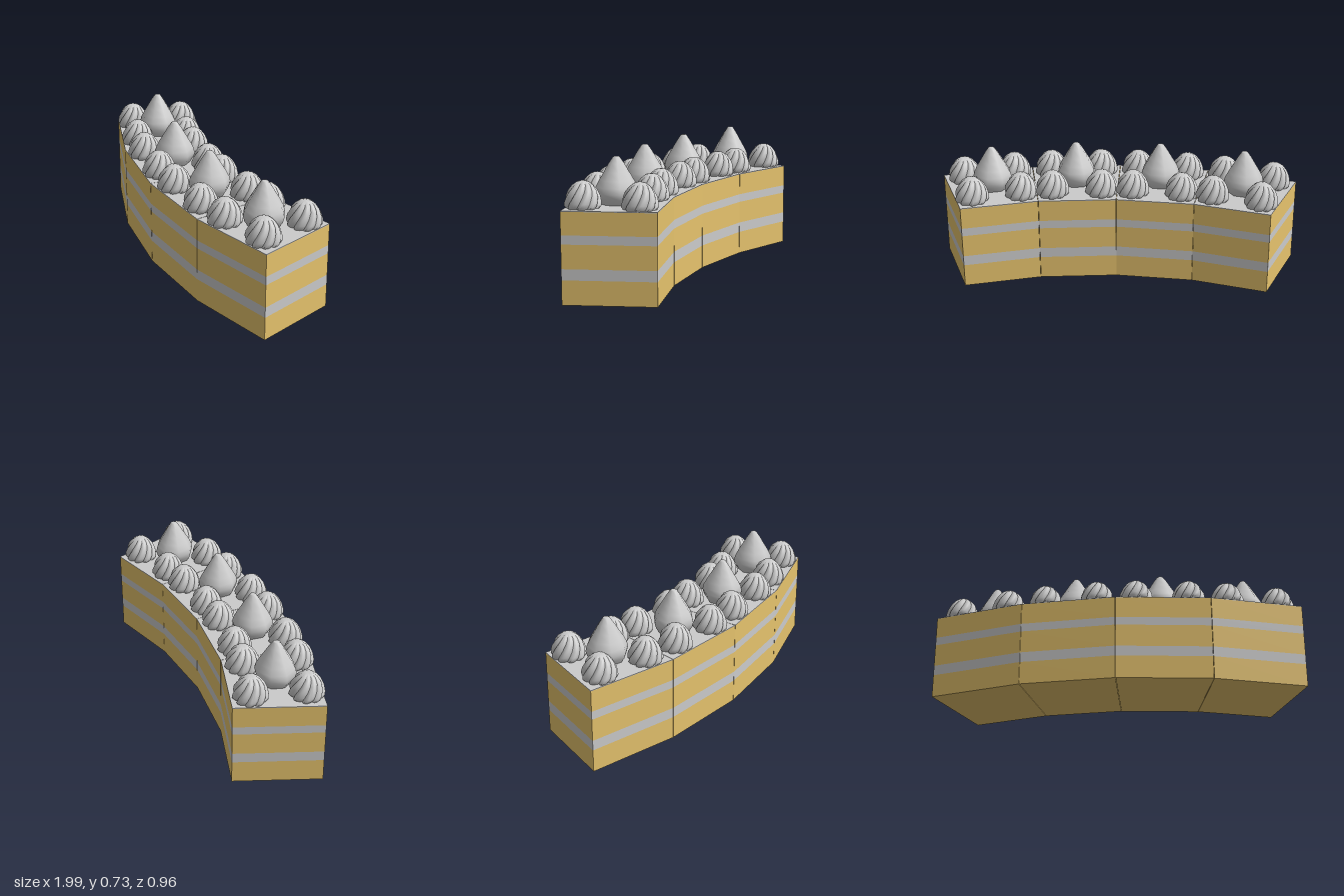
import * as THREE from 'three';
import { toCreasedNormals } from 'three/addons/utils/BufferGeometryUtils.js';

const HALF = THREE.MathUtils.degToRad(5.3); // half the angle of one slice
const OUTER = 2.857, INNER = 2.37;          // distances from the ring centre
const TOP = 0.486;

const cream = new THREE.MeshStandardMaterial({ color: 0xcccccc });
const sponge = new THREE.MeshStandardMaterial({ color: 0xe6c36d });

// Wedge-shaped slab between two heights
function slab(y0, y1) {
  const t = Math.tan(HALF) - 0.0004; // hairline cut between slices
  const shape = new THREE.Shape([
    new THREE.Vector2(-OUTER * t, -OUTER), new THREE.Vector2(OUTER * t, -OUTER),
    new THREE.Vector2(INNER * t, -INNER), new THREE.Vector2(-INNER * t, -INNER),
  ]);
  const geo = new THREE.ExtrudeGeometry(shape, { depth: y1 - y0, bevelEnabled: false });
  return geo.rotateX(-Math.PI / 2).translate(0, y0, 0);
}

const toPoints = (list) => list.map(([r, y]) => new THREE.Vector2(r, y));

// Tall smooth dollop
function peakGeometry() {
  return new THREE.LatheGeometry(toPoints([
    [0.085, -0.005], [0.107, 0.03], [0.115, 0.06], [0.108, 0.09], [0.09, 0.125],
    [0.066, 0.165], [0.04, 0.21], [0.018, 0.242], [0.012, 0.245], [0, 0.245],
  ]), 8, Math.PI / 8);
}

// Small piped rosette: a dome with twisted, scalloped lobes
function rosetteGeometry() {
  const lobes = 9, perLobe = 6, height = 0.138;
  const profile = toPoints([
    [0, -0.004], [0.085, -0.004], [0.096, 0.012], [0.096, 0.03], [0.089, 0.06],
    [0.075, 0.09], [0.054, 0.117], [0.032, 0.133], [0.012, 0.138], [0, 0.138],
  ]);
  const geo = new THREE.LatheGeometry(profile, lobes * perLobe);
  const pos = geo.attributes.position;
  for (let i = 0; i < pos.count; i++) {
    const step = Math.floor(i / profile.length) % (lobes * perLobe);
    const { x: r, y } = profile[i % profile.length];
    const f = (step % perLobe) / perLobe;
    const lobe = 0.83 + 0.17 * Math.sin(Math.PI * Math.pow(f, 0.7));
    const angle = (step / (lobes * perLobe)) * Math.PI * 2 + 0.9 * (y / height);
    pos.setXYZ(i, r * lobe * Math.sin(angle), y, r * lobe * Math.cos(angle));
  }
  geo.deleteAttribute('normal');
  geo.deleteAttribute('uv');
  return toCreasedNormals(geo, 0.75);
}

export function createModel() {
  const model = new THREE.Group();
  model.name = 'cakeSlices';

  const layers = [
    ['spongeBottom', slab(0, 0.13), sponge],
    ['fillingLower', slab(0.13, 0.188), cream],
    ['spongeMiddle', slab(0.188, 0.315), sponge],
    ['fillingUpper', slab(0.315, 0.362), cream],
    ['spongeTop', slab(0.362, 0.482), sponge],
    ['icing', slab(0.482, TOP), cream],
  ];
  const peak = peakGeometry();
  const rosette = rosetteGeometry();

  for (let i = 0; i < 4; i++) {
    // Each slice swings around the ring centre
    const slice = new THREE.Group();
    slice.name = 'slice' + (i + 1);
    slice.position.set(0.735, 0, 0.467 - OUTER);
    slice.rotation.y = -2 * HALF * i;

    const add = (name, geo, mat, x = 0, y = 0, z = 0) => {
      const mesh = new THREE.Mesh(geo, mat);
      mesh.name = name;
      mesh.position.set(x, y, z);
      slice.add(mesh);
    };
    for (const [name, geo, mat] of layers) add(name, geo, mat);

    // One tall dollop in the middle, a rosette near each corner
    add('creamPeak', peak, cream, 0, TOP, OUTER - 0.227);
    for (const side of [-1, 1]) {
      add('rosetteBack', rosette, cream, side * 0.14, TOP, OUTER - 0.382);
      add('rosetteFront', rosette, cream, side * 0.147, TOP, OUTER - 0.087);
    }
    model.add(slice);
  }
  return model;
}
